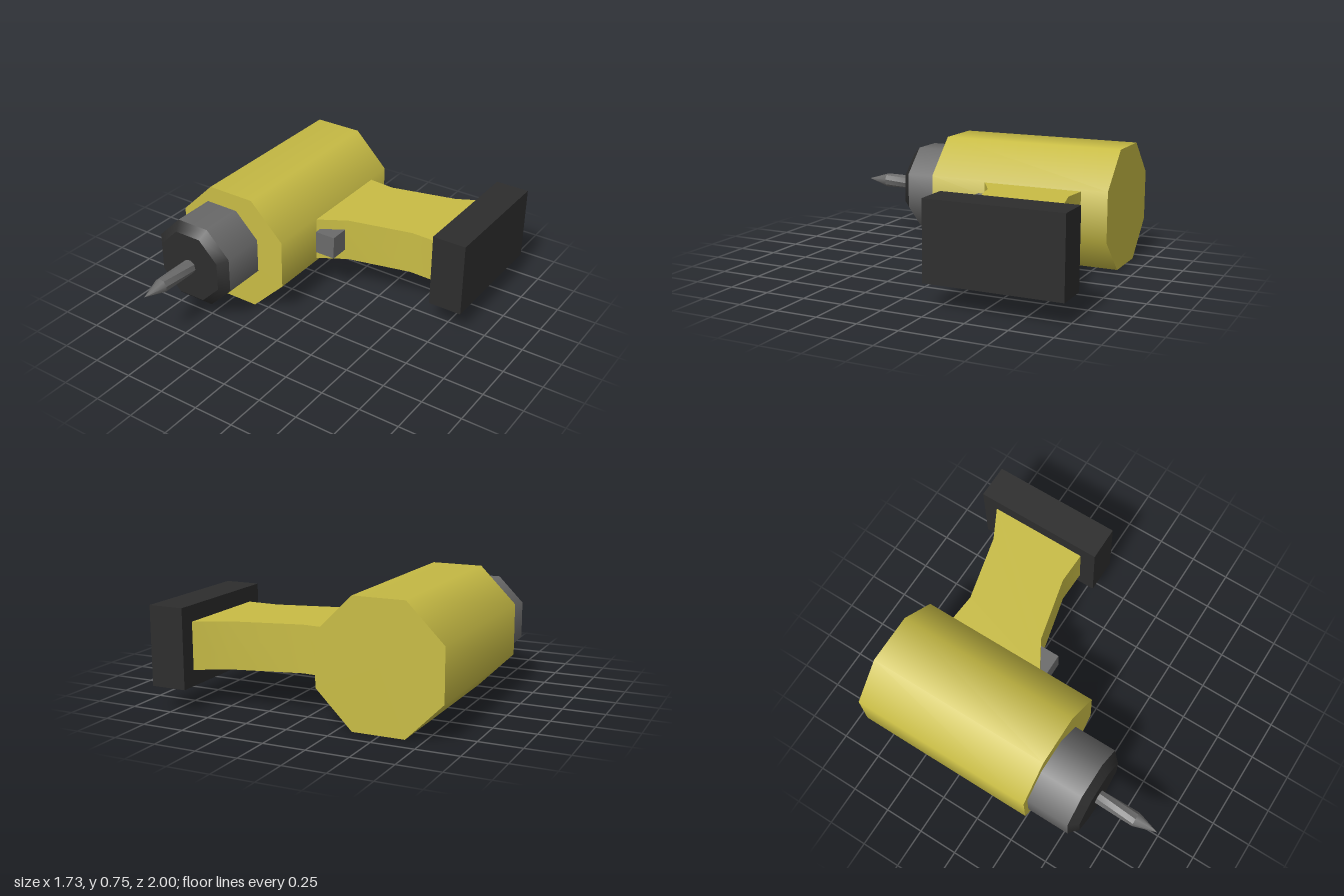
import * as THREE from 'three';
import { toCreasedNormals } from 'three/addons/utils/BufferGeometryUtils.js';

const mat = (name, color) => {
  const m = new THREE.MeshStandardMaterial({ color });
  m.name = name;
  return m;
};

export function createModel() {
  const yellow = mat('yellow casing', 0xc8bc45);
  const black = mat('black plastic', 0x2d2d2d);
  const grey = mat('grey metal', 0x6a6a6a);
  const group = new THREE.Group();

  const add = (name, geometry, material, x = 0, y = 0, z = 0) => {
    const mesh = new THREE.Mesh(geometry, material);
    mesh.name = name;
    mesh.position.set(x, y, z);
    group.add(mesh);
    return mesh;
  };

  // Octagonal prism along z with flats on top and sides, sized by apothem
  const octagon = (front, back, z0, z1, open = false) => {
    const k = 1 / Math.cos(Math.PI / 8);
    return new THREE.CylinderGeometry(front * k, back * k, z1 - z0, 8, 1, open, Math.PI / 8)
      .rotateX(Math.PI / 2)
      .translate(0, 0, (z0 + z1) / 2);
  };
  const box = (name, material, x0, x1, y0, y1, z0, z1) =>
    add(name, new THREE.BoxGeometry(x1 - x0, y1 - y0, z1 - z0), material,
      (x0 + x1) / 2, (y0 + y1) / 2, (z0 + z1) / 2);

  // Motor housing
  add('motorHousing', octagon(0.3725, 0.3725, -0.885, 0.275), yellow, -0.4925, 0.3725);

  // Chuck with a dark bevelled nose
  const cx = -0.565, cy = 0.375;
  add('chuck', octagon(0.263, 0.263, 0.27, 0.548, true), grey, cx, cy);
  add('chuckNose', octagon(0.212, 0.263, 0.548, 0.6), black, cx, cy);

  // Drill bit: slightly twisted shank and a pointed tip
  const shank = new THREE.CylinderGeometry(0.045, 0.045, 0.26, 8, 4, true);
  const p = shank.attributes.position;
  const v = new THREE.Vector3();
  const up = new THREE.Vector3(0, 1, 0);
  for (let i = 0; i < p.count; i++) {
    v.fromBufferAttribute(p, i).applyAxisAngle(up, v.y * 1.6);
    p.setXYZ(i, v.x, v.y, v.z);
  }
  shank.computeVertexNormals();
  add('drillBit', toCreasedNormals(shank.rotateX(Math.PI / 2), 0.5), grey, cx, cy, 0.725);
  const tip = new THREE.ConeGeometry(0.045, 0.145, 8, 1, false, 0.208);
  add('drillTip', tip.rotateX(Math.PI / 2), grey, cx, cy, 0.9275);

  // Waisted handle, outlined in x and -z, extruded upward
  const outline = [
    [-0.14, -0.08], [-0.12, -0.09], [0.05, -0.19], [0.45, -0.285], [0.66, -0.28],
    [0.66, -0.91], [0.46, -0.805], [0.05, -0.705], [-0.14, -0.72],
  ].map(([x, z]) => new THREE.Vector2(x, -z));
  const handle = new THREE.ExtrudeGeometry(new THREE.Shape(outline), { depth: 0.28, bevelEnabled: false })
    .rotateX(-Math.PI / 2);
  add('handle', toCreasedNormals(handle, 0.7), yellow, 0, 0.235, 0);

  // Trigger and battery
  box('trigger', grey, -0.1, 0.033, 0.303, 0.449, -0.25, -0.055);
  box('battery', black, 0.648, 0.862, 0.14, 0.61, -1, -0.18);

  return group;
}
